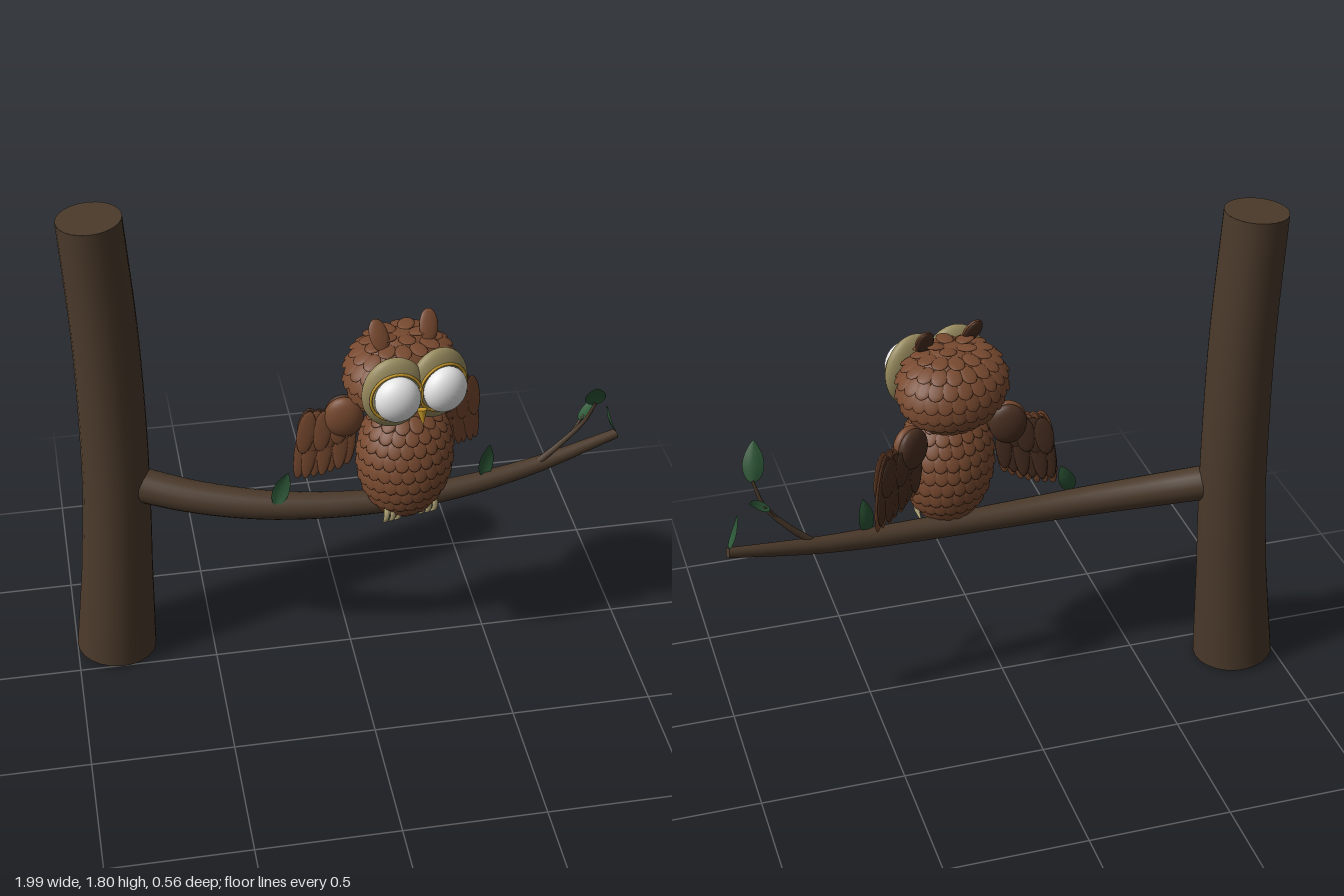
import * as THREE from 'three';
import { mergeGeometries } from 'three/addons/utils/BufferGeometryUtils.js';

const V = (x, y, z) => new THREE.Vector3(x, y, z);

function material(name, color, side = THREE.FrontSide) {
  const m = new THREE.MeshStandardMaterial({ color, side });
  m.name = name;
  return m;
}

function add(parent, name, geometry, mat, x = 0, y = 0, z = 0) {
  const mesh = new THREE.Mesh(geometry, mat);
  mesh.name = name;
  mesh.position.set(x, y, z);
  parent.add(mesh);
  return mesh;
}

const ellipsoid = (rx, ry, rz, w = 28, h = 18) => new THREE.SphereGeometry(1, w, h).scale(rx, ry, rz);

// Round limb along a curve with a radius at each point and flat caps
function limb(points, radii, sides = 20, steps = 40) {
  const curve = new THREE.CatmullRomCurve3(points.map(p => V(...p)));
  const geo = new THREE.TubeGeometry(curve, steps, 1, sides, false);
  const pos = geo.attributes.position;
  const v = V(0, 0, 0);
  const radiusAt = t => {
    const f = t * (radii.length - 1), i = Math.min(Math.floor(f), radii.length - 2);
    return THREE.MathUtils.lerp(radii[i], radii[i + 1], f - i);
  };
  for (let i = 0; i <= steps; i++) {
    const c = curve.getPointAt(i / steps), r = radiusAt(i / steps);
    for (let j = 0; j <= sides; j++) {
      const k = i * (sides + 1) + j;
      v.fromBufferAttribute(pos, k).sub(c).multiplyScalar(r).add(c);
      pos.setXYZ(k, v.x, v.y, v.z);
    }
  }
  const caps = [0, 1].map(t => {
    const dir = curve.getTangentAt(t).multiplyScalar(t ? 1 : -1);
    const c = curve.getPointAt(t);
    return new THREE.CircleGeometry(radiusAt(t), sides)
      .applyQuaternion(new THREE.Quaternion().setFromUnitVectors(V(0, 0, 1), dir))
      .translate(c.x, c.y, c.z);
  });
  return mergeGeometries([geo, ...caps]);
}

// Pointed leaf from base to tip, folded along the midrib
function leaf(base, tip, normal, width) {
  const b = V(...base), dir = V(...tip).sub(b), len = dir.length();
  dir.normalize();
  const side = dir.clone().cross(V(...normal)).normalize();
  const n = side.clone().cross(dir);
  const geo = new THREE.PlaneGeometry(1, 1, 4, 10);
  const pos = geo.attributes.position;
  for (let i = 0; i < pos.count; i++) {
    const t = pos.getY(i) + 0.5, u = pos.getX(i);
    const w = width * Math.pow(Math.sin(Math.PI * Math.pow(t, 0.8)), 0.8) || 0;
    pos.setXYZ(i, u * w, t * len, Math.abs(u) * w * 0.25 - Math.sin(t * Math.PI) * len * 0.08);
  }
  geo.applyMatrix4(new THREE.Matrix4().makeBasis(side, dir, n).setPosition(b));
  geo.computeVertexNormals();
  return geo;
}

// Overlapping rows of feathers laid over an ellipsoid
function plumage(center, radii, rows, from, to, width, length, lift, skip) {
  const feathers = [];
  for (let i = 0; i < rows; i++) {
    const phi = THREE.MathUtils.lerp(from, to, i / (rows - 1));
    const count = Math.max(5, Math.round(2 * Math.PI * radii[0] * Math.sin(phi) / (width * 1.5)));
    for (let j = 0; j < count; j++) {
      const a = (j + (i % 2) / 2) / count * Math.PI * 2;
      const d = V(Math.sin(phi) * Math.sin(a), Math.cos(phi), Math.sin(phi) * Math.cos(a));
      if (skip && skip(d)) continue;
      const n = V(d.x / radii[0], d.y / radii[1], d.z / radii[2]).normalize();
      const side = V(Math.cos(a), 0, -Math.sin(a));
      side.addScaledVector(n, -side.dot(n)).normalize();
      const up = n.clone().cross(side);
      const p = V(d.x * radii[0], d.y * radii[1], d.z * radii[2]).add(V(...center));
      feathers.push(ellipsoid(width, length, 0.006, 10, 6)
        .translate(0, -length * 0.7, 0).rotateX(-lift)
        .applyMatrix4(new THREE.Matrix4().makeBasis(side, up, n).setPosition(p)));
    }
  }
  return mergeGeometries(feathers);
}

export function createModel() {
  const model = new THREE.Group();
  const bark = material('bark brown', 0x4b3a2b);
  const green = material('leaf green', 0x2c5636, THREE.DoubleSide);
  const brown = material('feather brown', 0x77492f);
  const dark = material('dark feather brown', 0x4a3022);
  const tan = material('face tan', 0x978a5e);
  const gold = material('eye ring gold', 0xc99a2a);
  const white = material('eye white', 0xe6e6e6);
  const claw = material('claw tan', 0xb0a375);

  // Tree
  add(model, 'trunk', limb(
    [[-0.855, 0.01, -0.13], [-0.833, 0.35, -0.132], [-0.815, 0.7, -0.135], [-0.81, 1, -0.14],
      [-0.815, 1.35, -0.14], [-0.838, 1.79, -0.14]],
    [0.145, 0.128, 0.119, 0.116, 0.113, 0.11], 24), bark);
  add(model, 'branch', limb(
    [[-0.73, 0.735, -0.1], [-0.55, 0.7, -0.045], [-0.3, 0.668, 0.005], [0, 0.65, 0.025], [0.3, 0.652, 0.015],
      [0.65, 0.685, -0.03], [0.99, 0.752, -0.09]],
    [0.062, 0.056, 0.049, 0.043, 0.038, 0.029, 0.018]), bark);
  add(model, 'twig', limb([[0.67, 0.69, -0.03], [0.77, 0.78, -0.03], [0.845, 0.87, -0.02], [0.875, 0.96, 0.005]],
    [0.014, 0.011, 0.008, 0.005], 10, 16), bark);
  add(model, 'sideTwig', limb([[0.8, 0.81, -0.027], [0.83, 0.86, -0.035], [0.85, 0.88, -0.045]],
    [0.007, 0.005, 0.004], 8, 8), bark);
  [
    [[-0.275, 0.69, 0.05], [-0.225, 0.815, 0.03], [0, 0.2, 1], 0.06],
    [[0.485, 0.68, 0], [0.5, 0.825, 0], [0.3, 0, 1], 0.06],
    [[0.875, 0.95, 0], [0.85, 1.075, 0.08], [0, -0.5, 0.8], 0.075],
    [[0.83, 0.87, -0.03], [0.905, 0.928, -0.09], [-0.6, 0.7, 0], 0.06],
    [[0.988, 0.76, -0.09], [0.945, 0.89, -0.08], [1, 0.3, 0], 0.06],
  ].forEach(spec => add(model, 'leaf', leaf(...spec), green));

  // Owl, turned slightly to its left
  const owl = new THREE.Group();
  owl.name = 'owl';
  owl.position.set(0.165, 0, 0.03);
  owl.rotation.y = 0.2;
  model.add(owl);

  const bodyC = [0, 0.89, 0.055], bodyR = [0.158, 0.23, 0.135];
  const headC = [0, 1.205, 0.005], headR = [0.178, 0.15, 0.14];
  add(owl, 'body', ellipsoid(...bodyR), brown, ...bodyC);
  add(owl, 'bodyFeathers', plumage(bodyC, bodyR, 11, 0.6, 2.75, 0.027, 0.033, 0.22), brown);
  add(owl, 'head', ellipsoid(...headR), brown, ...headC);
  add(owl, 'headFeathers', plumage(headC, headR, 8, 0.2, 2.3, 0.03, 0.036, 0.28,
    d => d.z > 0.5 && d.y < 0.85), brown);

  // Beak
  add(owl, 'beak', new THREE.ConeGeometry(0.018, 0.06, 12).rotateX(Math.PI - 0.25), gold, 0, 1.13, 0.2);

  for (const s of [-1, 1]) {
    // Face disc, ring and eye
    const face = new THREE.Group();
    face.name = s > 0 ? 'leftFace' : 'rightFace';
    face.position.set(s * 0.08, 1.215, 0.14);
    face.rotation.y = s * 0.12;
    owl.add(face);
    add(face, 'faceDisc', ellipsoid(0.112, 0.134, 0.045), tan);
    add(face, 'eyeRing', new THREE.TorusGeometry(0.089, 0.005, 8, 40), gold, 0, 0, 0.034);
    add(face, 'eye', ellipsoid(0.079, 0.083, 0.055), white, 0, 0.002, 0.05);

    // Ear tuft with a dark back
    const ear = new THREE.Group();
    ear.name = 'earTuft';
    ear.position.set(s * 0.09, 1.375, 0.03);
    ear.rotation.set(-0.5, 0, -s * 0.15);
    owl.add(ear);
    add(ear, 'earFront', ellipsoid(0.034, 0.058, 0.012, 16, 12), brown);
    add(ear, 'earBack', ellipsoid(0.032, 0.056, 0.012, 16, 12), dark, 0, 0, -0.006);

    // Wing: shoulder, long feathers, coverts and dark back
    const wing = new THREE.Group();
    wing.name = s > 0 ? 'leftWing' : 'rightWing';
    wing.position.set(s * 0.145, 0, -0.03);
    wing.rotation.y = s * 0.35;
    owl.add(wing);
    add(wing, 'shoulder', ellipsoid(0.068, 0.078, 0.035), brown, s * 0.045, 1.03, 0.01);
    add(wing, 'shoulderBack', ellipsoid(0.066, 0.075, 0.03), dark, s * 0.045, 1.03, -0.012);
    const fan = (count, x0, x1, top, bottom, w, z) => mergeGeometries(Array.from({ length: count }, (_, i) => {
      const t = i / (count - 1);
      const low = bottom + 0.06 * (1 - t) ** 2;
      return ellipsoid(w, (top - low) / 2, 0.006, 12, 10).rotateZ(s * (0.05 + 0.12 * t))
        .translate(s * THREE.MathUtils.lerp(x0, x1, t), (top + low) / 2, z + 0.004 * (i % 2));
    }));
    add(wing, 'longFeathers', fan(7, 0.03, 0.185, 1.055, 0.765, 0.028, 0.004), brown);
    add(wing, 'coverts', fan(6, 0.035, 0.175, 1.06, 0.88, 0.032, 0.012), brown);
    add(wing, 'backFeathers', fan(6, 0.03, 0.18, 1.05, 0.79, 0.03, -0.01), dark);
    add(wing, 'backCoverts', fan(5, 0.04, 0.17, 1.05, 0.9, 0.034, -0.019), dark);

    // Toes gripping the branch
    for (let k = -1; k <= 1; k++) {
      add(owl, 'toe', limb([[s * 0.068 + k * 0.014, 0.7, 0.09], [s * 0.068 + k * 0.021, 0.705, 0.118],
        [s * 0.068 + k * 0.024, 0.675, 0.118], [s * 0.068 + k * 0.022, 0.638, 0.09]],
      [0.009, 0.011, 0.009, 0.003], 8, 12), claw);
    }
  }
  return model;
}
